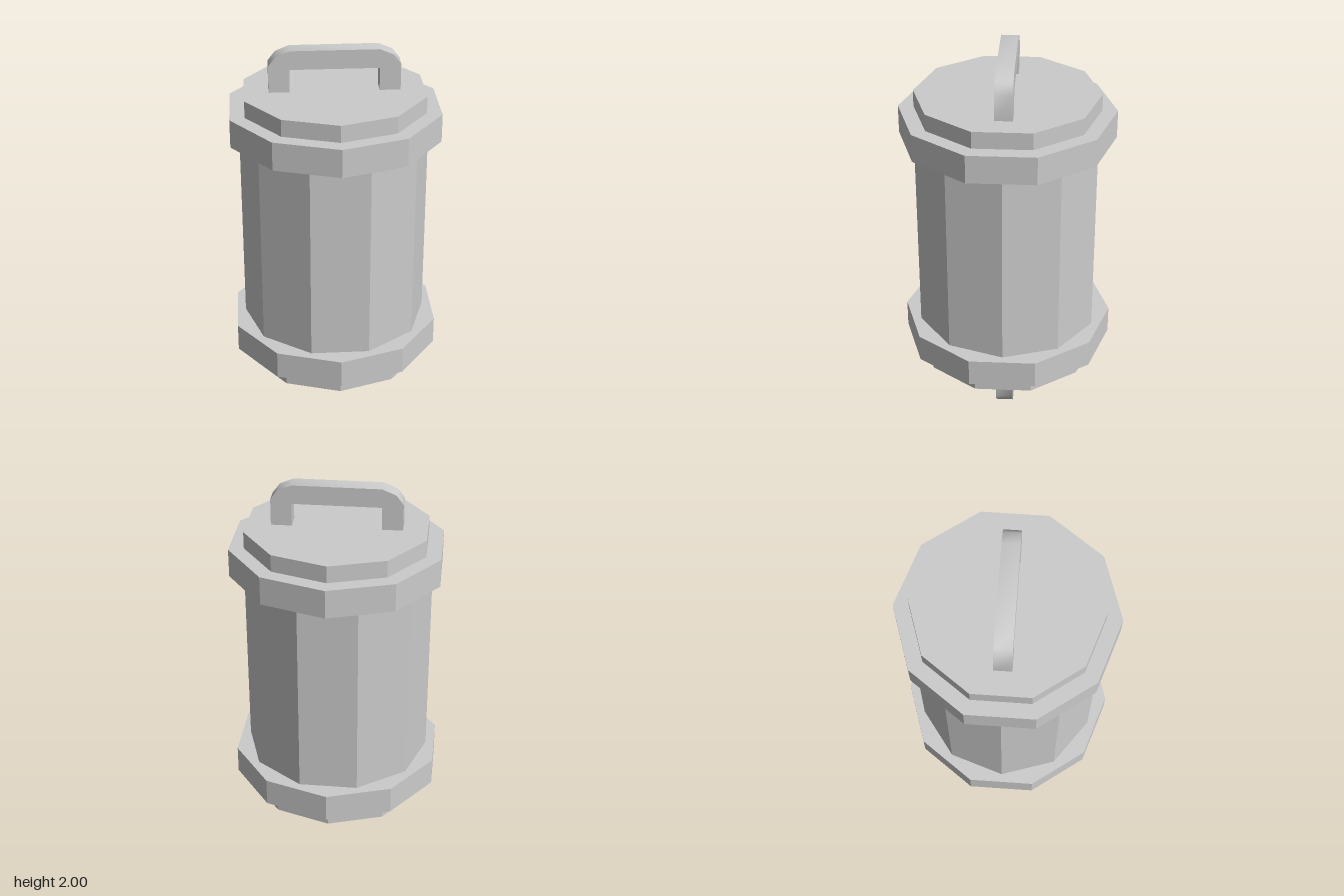
import * as THREE from 'three';
import { toCreasedNormals } from 'three/addons/utils/BufferGeometryUtils.js';

const material = new THREE.MeshStandardMaterial({ color: 0xcccccc, flatShading: true });
const smoothMaterial = new THREE.MeshStandardMaterial({ color: 0xcccccc });

// Ten-sided drum between two heights
function drum(name, radius, bottom, top, turn = 0) {
  const geometry = new THREE.CylinderGeometry(radius, radius, top - bottom, 10);
  geometry.rotateY(turn);
  geometry.translate(0, (bottom + top) / 2, 0);
  const mesh = new THREE.Mesh(geometry, material);
  mesh.name = name;
  return mesh;
}

// Flat bar bent into a bracket, with bevelled outer corners and a square inside
function handle(name) {
  const half = [[0.338, 1.77], [0.338, 1.92], [0.3, 1.97], [0.228, 2]];
  const outer = [...half, ...half.map(([x, y]) => [-x, y]).reverse()];
  const inner = [[-0.23, 1.77], [-0.23, 1.9], [0.23, 1.9], [0.23, 1.77]];
  const shape = new THREE.Shape([...outer, ...inner].map(([x, y]) => new THREE.Vector2(x, y)));
  const geometry = new THREE.ExtrudeGeometry(shape, { depth: 0.092, bevelEnabled: false });
  geometry.translate(0, 0, -0.046);
  const mesh = new THREE.Mesh(toCreasedNormals(geometry, 0.7), smoothMaterial);
  mesh.name = name;
  return mesh;
}

export function createModel() {
  const model = new THREE.Group();
  model.name = 'canister';

  // Main barrel, turned half a side against the rims
  model.add(drum('barrel', 0.495, 0.46, 1.545, Math.PI / 10));

  // Stepped rims and end caps
  model.add(drum('upperRim', 0.568, 1.54, 1.69));
  model.add(drum('upperCap', 0.487, 1.69, 1.78));
  model.add(drum('lowerRim', 0.568, 0.318, 0.467));
  model.add(drum('lowerCap', 0.487, 0.227, 0.318));

  // Handles on both ends
  model.add(handle('upperHandle'));
  const lower = handle('lowerHandle');
  lower.rotation.z = Math.PI;
  lower.position.y = 2.003;
  model.add(lower);

  return model;
}
